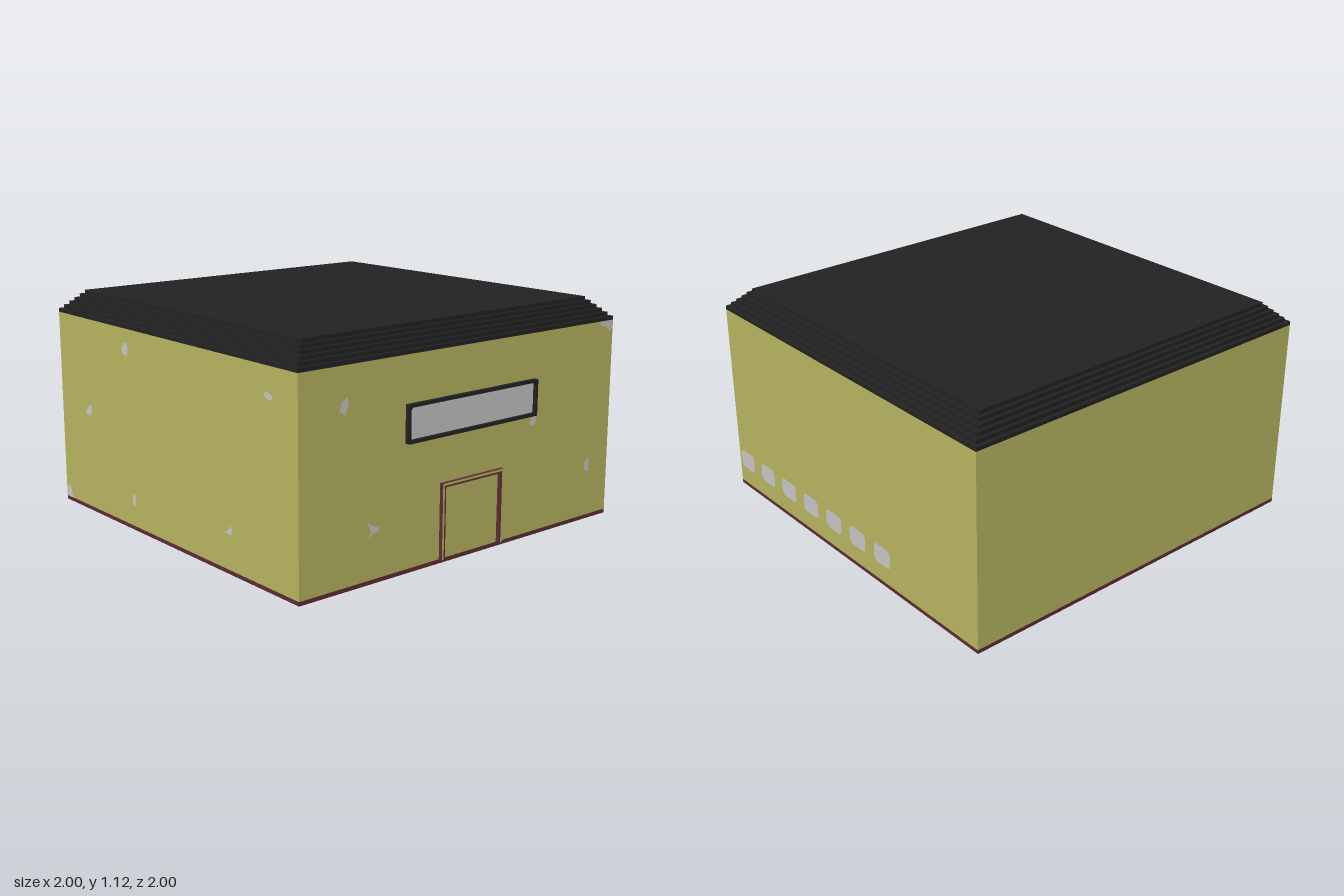
import * as THREE from 'three';

const colours = { wallYellow: 0xb5b35f, roofBlack: 0x222222, trimMaroon: 0x5c2c34, paleGrey: 0xc4c4c4 };
const mats = {};
for (const [name, color] of Object.entries(colours)) {
  mats[name] = new THREE.MeshStandardMaterial({ color });
  mats[name].name = name;
}

function add(parent, name, geometry, material, x = 0, y = 0, z = 0) {
  const mesh = new THREE.Mesh(geometry, material);
  mesh.name = name;
  mesh.position.set(x, y, z);
  parent.add(mesh);
  return mesh;
}

// Rounded rectangle between two corners
function roundRect(Type, x0, y0, x1, y1, r) {
  const s = new Type();
  s.moveTo(x0 + r, y0);
  s.lineTo(x1 - r, y0).quadraticCurveTo(x1, y0, x1, y0 + r);
  s.lineTo(x1, y1 - r).quadraticCurveTo(x1, y1, x1 - r, y1);
  s.lineTo(x0 + r, y1).quadraticCurveTo(x0, y1, x0, y1 - r);
  s.lineTo(x0, y0 + r).quadraticCurveTo(x0, y0, x0 + r, y0);
  return s;
}

// Irregular worn patches as outlines on a wall, in hundredths of a unit
function addPatches(parent, outlines) {
  for (const pts of outlines) {
    const shape = new THREE.Shape(pts.map(([x, y]) => new THREE.Vector2(x / 100, y / 100)));
    add(parent, 'wornPatch', new THREE.ShapeGeometry(shape), mats.paleGrey, 0, 0, 0.002);
  }
}

// A wall group whose local +z points out of the wall
function wallGroup(parent, name, x, z, turn) {
  const g = new THREE.Group();
  g.name = name;
  g.position.set(x, 0, z);
  g.rotation.y = turn;
  parent.add(g);
  return g;
}

export function createModel() {
  const model = new THREE.Group();
  model.name = 'building';
  const cx = -0.01, w = 1.98, d = 2;

  // Body
  add(model, 'baseSlab', new THREE.BoxGeometry(w, 0.02, d), mats.trimMaroon, cx, 0.01, 0);
  add(model, 'walls', new THREE.BoxGeometry(w, 0.985, d), mats.wallYellow, cx, 0.5125, 0);

  // Stepped roof
  const step = 0.0192;
  for (let i = 0; i < 6; i++) {
    add(model, 'roofStep', new THREE.BoxGeometry(w - i * 0.04, step, d - i * 0.04), mats.roofBlack,
      cx, 1.005 + step * (i + 0.5), 0);
  }
  add(model, 'roofCap', new THREE.BoxGeometry(0.04, 0.003, 0.04), mats.roofBlack, 0, 1.1205, 0);

  // Front wall patches
  const front = wallGroup(model, 'frontWallDetails', 0, 1, 0);
  addPatches(front, [
    [[-38, 88], [-34, 87], [-33, 91], [-34, 94], [-37, 93], [-39, 90]],
    [[75, 88], [77, 86], [81, 86], [81, 88], [77, 89.5]],
    [[-76, 52], [-72, 50], [-70, 53], [-69.5, 55], [-71, 57]],
    [[45, 19.5], [49, 18.5], [51, 20.5], [49.5, 23.5], [48, 21]],
    [[-33, 13], [-30.5, 13], [-30.5, 19], [-32, 19], [-33, 17]],
    [[-100, 2], [-92.5, 2], [-94.5, 5.5], [-96.5, 9], [-98.5, 7.5]],
  ]);

  // Side wall with window, doorway and patches
  const side = wallGroup(model, 'sideWallDetails', 0.98, 0, Math.PI / 2);
  addPatches(side, [
    [[-78, 81], [-75, 79], [-73, 83], [-73.5, 87], [-77, 84.5]],
    [[-62, 21], [-58.5, 23.5], [-55.5, 23.5], [-55, 26], [-59, 27], [-62, 29], [-60, 24.5]],
    [[40.5, 57], [41, 55.5], [44.5, 56], [45.5, 60], [44.5, 64], [41.5, 59.5]],
    [[82, 28], [83, 25.5], [86, 24.5], [85.5, 31.5], [83, 31]],
    [[90, 100.4], [90.5, 98.5], [94.5, 97.5], [97.5, 95], [99.8, 97], [99.8, 100.4]],
  ]);

  const frame = roundRect(THREE.Shape, -0.4, 0.605, 0.437, 0.785, 0.008);
  frame.holes.push(roundRect(THREE.Path, -0.384, 0.621, 0.421, 0.769, 0.016));
  add(side, 'windowFrame', new THREE.ExtrudeGeometry(frame, { depth: 0.02, bevelEnabled: false }), mats.roofBlack);
  add(side, 'windowPane', new THREE.PlaneGeometry(0.82, 0.165), mats.paleGrey, 0.0185, 0.695, 0.004);

  // Doorway: maroon frame with a wall-coloured outer face
  const doorRing = (inset, depth) => {
    const s = new THREE.Shape([[-0.182, 0.02], [-0.182, 0.385], [0.216, 0.385], [0.216, 0.02],
      [0.216 - inset, 0.02], [0.216 - inset, 0.385 - inset], [-0.182 + inset, 0.385 - inset], [-0.182 + inset, 0.02],
    ].map(([x, y]) => new THREE.Vector2(x, y)));
    return depth ? new THREE.ExtrudeGeometry(s, { depth, bevelEnabled: false }) : new THREE.ShapeGeometry(s);
  };
  add(side, 'doorFrame', doorRing(0.02, 0.0195), mats.trimMaroon);
  add(side, 'doorFrameFace', doorRing(0.011, 0), mats.wallYellow, 0, 0, 0.0205);

  // Back wall: row of small rounded windows
  const back = wallGroup(model, 'backWallDetails', 0, -1, Math.PI);
  const small = new THREE.ShapeGeometry(roundRect(THREE.Shape, 0, 0, 0.127, 0.1, 0.03));
  for (let i = 0; i < 7; i++) add(back, 'backWindow', small, mats.paleGrey, -0.962 + i * 0.2, 0.113, 0.002);

  return model;
}
